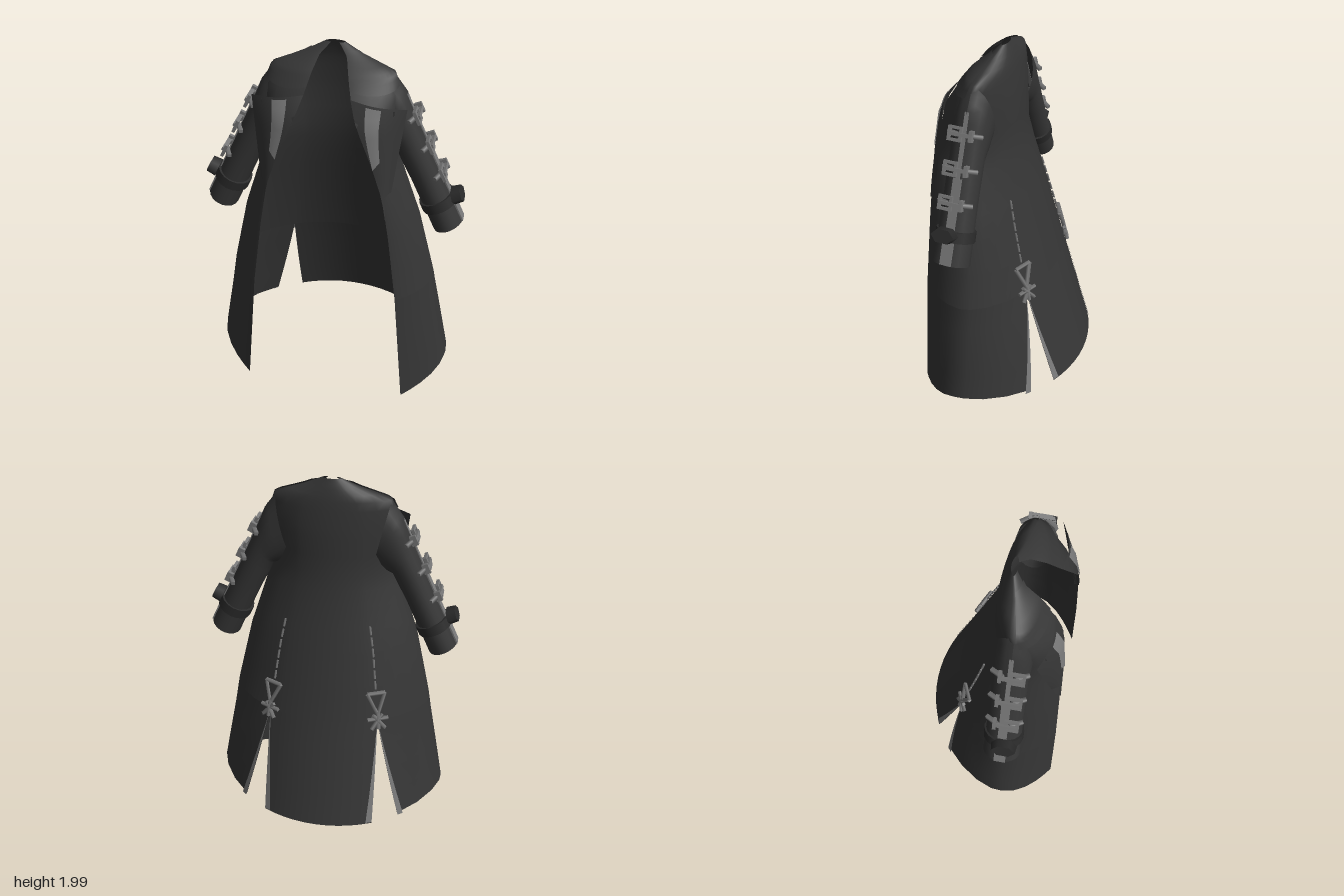
import * as THREE from 'three';

const material = (name, color) => {
  const m = new THREE.MeshStandardMaterial({ color, side: THREE.DoubleSide });
  m.name = name;
  return m;
};
const V = (x, y, z) => new THREE.Vector3(x, y, z);
const lerp = THREE.MathUtils.lerp;

// Body slices: y, back z, side x, side z, front edge x, front edge z
const ROWS = [
  [0, -0.44, 0.69, 0.09, 0.447, 0.407],
  [0.7, -0.225, 0.56, 0.11, 0.385, 0.39],
  [1.08, -0.12, 0.47, 0.13, 0.335, 0.375],
  [1.32, -0.055, 0.39, 0.14, 0.295, 0.365],
  [1.5, -0.02, 0.335, 0.15, 0.235, 0.355],
  [1.7, -0.01, 0.345, 0.14, 0.15, 0.33],
  [1.8, 0, 0.34, 0.13, 0.115, 0.27],
  [1.89, 0.012, 0.305, 0.11, 0.09, 0.2],
  [1.95, 0.028, 0.15, 0.09, 0.068, 0.125],
  [2, 0.05, 0.05, 0.068, 0.02, 0.08],
];

// Sleeve slices: outer x, outer y, inner x, inner y, half depth
const SLEEVE = [
  [0.69, 1.09, 0.54, 1.02, 0.097],
  [0.55, 1.383, 0.405, 1.315, 0.09],
  [0.434, 1.632, 0.32, 1.48, 0.089],
  [0.365, 1.79, 0.27, 1.5, 0.095],
  [0.3, 1.88, 0.22, 1.53, 0.095],
];

// Point on the coat: angle 0 is the back centre, PI the left front edge
function coatPoint(angle, y, off = 0) {
  let i = 0;
  while (i < ROWS.length - 2 && y > ROWS[i + 1][0]) i++;
  const a = ROWS[i], b = ROWS[i + 1], k = (y - a[0]) / (b[0] - a[0]);
  const [, zb, xs, zs, xf, zf] = a.map((n, j) => lerp(n, b[j], k));
  const t = Math.abs(angle), s = Math.sign(angle);
  const back = t < Math.PI / 2, c = Math.abs(Math.cos(t)), n = Math.sin(t);
  const bow = 2 - 0.7 * Math.min(y / 1.5, 1);
  const x = back ? xs * n : xf + (xs - xf) * Math.pow(Math.max(n, 0), bow);
  const z = back ? zs + (zb - zs) * Math.pow(c, 1.3) : zs + (zf - zs) * c;
  return V(s * (x + off * n), y, z - off * Math.cos(t));
}

// Lower edge of the coat by angle
function hem(angle) {
  const t = Math.abs(angle), c = Math.abs(Math.cos(t));
  return t < Math.PI / 2 ? 0.1 + 0.04 * Math.sin(t) ** 2 : 0.14 - 0.13 * Math.pow(c, 1.3);
}
const SLIT = 0.565;
const slitBack = (y) => SLIT - 0.14 * (0.7 - y);
const slitSide = (y) => SLIT + 0.28 * (0.7 - y);

// Bent sheet from a function of u, v
function sheet(f, nu, nv) {
  const g = new THREE.PlaneGeometry(1, 1, nu, nv);
  const p = g.attributes.position, uv = g.attributes.uv;
  for (let i = 0; i < p.count; i++) {
    const q = f(uv.getX(i), uv.getY(i));
    p.setXYZ(i, q.x, q.y, q.z);
  }
  g.computeVertexNormals();
  return g;
}

export function createModel() {
  const coat = material('coat cloth', 0x353535);
  const leather = material('dark leather', 0x2b2b2b);
  const metal = material('grey trim', 0x787878);
  const model = new THREE.Group();
  model.name = 'longCoat';

  const add = (parent, name, geo, mat, x = 0, y = 0, z = 0) => {
    const m = new THREE.Mesh(geo, mat);
    m.name = name;
    m.position.set(x, y, z);
    parent.add(m);
    return m;
  };
  const bar = (parent, name, p, q, r, mat = metal) => {
    const m = add(parent, name, new THREE.CylinderGeometry(r, r, p.distanceTo(q), 4), mat);
    m.position.copy(p).lerp(q, 0.5);
    m.quaternion.setFromUnitVectors(V(0, 1, 0), q.clone().sub(p).normalize());
  };

  // Upper coat, with columns that meet the skirt panels below
  add(model, 'upperCoat', sheet((u, v) => {
    const col = Math.round(u * 30) - 15, n = Math.abs(col);
    const angle = n <= 5 ? SLIT * n / 5 : lerp(SLIT, Math.PI, (n - 5) / 10);
    const r = 1 + v * 8, i = Math.min(Math.floor(r), 8);
    return coatPoint(-Math.sign(col) * angle, lerp(ROWS[i][0], ROWS[i + 1][0], r - i));
  }, 30, 16), coat);

  // Back tail between the two slits
  add(model, 'backTail', sheet((u, v) => {
    const y = lerp(0.1, 0.7, v), e = slitBack(y);
    return coatPoint(lerp(e, -e, u), y);
  }, 10, 4), coat);

  for (const side of [1, -1]) {
    const half = new THREE.Group();
    half.name = side > 0 ? 'leftHalf' : 'rightHalf';
    half.scale.x = side;
    model.add(half);

    // Front skirt from the slit round to the front edge
    add(half, 'frontSkirt', sheet((u, v) => {
      const a = lerp(slitSide(lerp(0.11, 0.7, v)), Math.PI, 1 - u);
      return coatPoint(a, lerp(hem(a), 0.7, v));
    }, 10, 4), coat);

    // Collar flap over the front of the shoulder
    add(half, 'collar', sheet((u, v) => {
      const low = 1.83 - 0.02 * Math.sin(Math.PI * u);
      const p = coatPoint(lerp(Math.PI, 1.75, u), lerp(low, 1.97, v), 0.007);
      p.y += 0.004;
      return p;
    }, 10, 8), coat);

    // Pale strips along both slit edges
    for (const [edge, dir] of [[slitBack, -1], [slitSide, 1]]) {
      add(half, 'slitTrim', sheet((u, v) => {
        const y = lerp(0.108, 0.7, v), w = 0.055 * (1 - v);
        return coatPoint(edge(y) + dir * w * u, y, 0.004);
      }, 2, 4), metal);
    }

    // Clasp above the slit: triangle, cross bars and a stitched line
    const clasp = new THREE.Group();
    clasp.name = 'slitClasp';
    half.add(clasp);
    const c = (da, y) => coatPoint(SLIT + da, y, 0.015);
    const links = [
      [-0.1, 0.86, 0.1, 0.86], [-0.1, 0.86, 0, 0.74], [0.1, 0.86, 0, 0.74],
      [-0.11, 0.715, 0.11, 0.715], [-0.07, 0.66, 0.05, 0.74], [0.07, 0.66, -0.05, 0.74],
      [0, 0.66, 0, 0.76],
    ];
    for (const [a, y, b, y2] of links) bar(clasp, 'claspBar', c(a, y), c(b, y2), 0.012);
    for (let i = 0; i < 6; i++) {
      const y = 0.88 + i * 0.06;
      bar(clasp, 'stitch', coatPoint(SLIT, y, 0.007), coatPoint(SLIT, y + 0.045, 0.007), 0.006);
    }

    // Lapel folded back over the chest, with its pale stripe
    const lapel = (u, v, lift) => {
      const a = coatPoint(Math.PI, lerp(1.2, 1.8, v));
      const b = V(lerp(0.318, 0.385, v), lerp(1.2, 1.76, v), lerp(0.345, 0.235, v));
      const p = a.lerp(b, u);
      p.z += 0.005 + 0.03 * Math.sin(Math.PI * u) * v + lift;
      return p;
    };
    add(half, 'lapel', sheet((u, v) => lapel(u, v, 0), 8, 8), coat);
    add(half, 'lapelStripe', sheet((u, v) =>
      lapel(lerp(lerp(0.02, 0.28, v), lerp(0.4, 0.56, v), u), lerp(0.46 + 0.08 * u, 0.985, v), 0.006), 4, 6), metal);
    bar(half, 'lapelSeam', lapel(0.78, 0.98, 0), lapel(0.75, 0.1, 0), 0.003, leather);

    // Sleeve widening into the shoulder
    add(half, 'sleeve', sheet((u, v) => {
      const r = v * 4, i = Math.min(Math.floor(r), 3), t = u * Math.PI * 2;
      const [ox, oy, ix, iy, d] = SLEEVE[i].map((n, j) => lerp(n, SLEEVE[i + 1][j], r - i));
      const k = 0.5 + 0.5 * Math.cos(t);
      return V(lerp(ix, ox, k), lerp(iy, oy, k), 0.12 - d * Math.sin(t));
    }, 18, 12), coat);

    // Fittings on the sleeve: local y runs up the arm, +x faces outward
    const arm = new THREE.Group();
    arm.name = 'sleeveFittings';
    arm.position.set(0.615, 1.055, 0.12);
    arm.rotation.z = 0.437;
    half.add(arm);

    // Cuff strap with a pointed tab
    const strap = add(arm, 'cuffStrap', new THREE.CylinderGeometry(0.095, 0.095, 0.055, 16, 1, true), leather, 0, 0.15, 0);
    strap.scale.z = 1.08;
    for (const y of [0.1225, 0.1775]) {
      const rim = add(arm, 'strapEdge', new THREE.RingGeometry(0.08, 0.095, 16), leather, 0, y, 0);
      rim.rotation.x = y < 0.15 ? Math.PI / 2 : -Math.PI / 2;
      rim.scale.y = 1.08;
    }
    const tab = add(arm, 'strapTab', new THREE.CylinderGeometry(0.055, 0.06, 0.05, 6), leather, 0.113, 0.157, 0.015);
    tab.rotation.z = -Math.PI / 2;
    tab.scale.set(0.7, 1, 1.1);

    // Pale stripe down the outer arm, thinner near the shoulder
    add(arm, 'sleeveStripe', new THREE.BoxGeometry(0.009, 0.13, 0.06), metal, 0.081, 0.067, 0);
    add(arm, 'sleeveStripeMiddle', new THREE.BoxGeometry(0.009, 0.28, 0.046), metal, 0.079, 0.3, 0);
    add(arm, 'sleeveStripeTop', new THREE.BoxGeometry(0.009, 0.33, 0.022), metal, 0.0795, 0.6, 0);

    // Three buckles
    for (const y of [0.315, 0.485, 0.655]) {
      const buckle = new THREE.Group();
      buckle.name = 'buckle';
      buckle.position.set(0.097, y, 0);
      arm.add(buckle);
      for (const s of [-1, 1]) {
        add(buckle, 'frameRail', new THREE.BoxGeometry(0.016, 0.014, 0.07), metal, 0, s * 0.03, 0.04);
        add(buckle, 'frameEnd', new THREE.BoxGeometry(0.016, 0.074, 0.014), metal, 0, 0, 0.04 + s * 0.03);
        bar(buckle, 'buckleStrap', V(0, 0, s * 0.03), V(-0.038, 0, s * 0.09), 0.014);
      }
      add(buckle, 'prong', new THREE.BoxGeometry(0.014, 0.018, 0.11), metal, 0.01, 0, 0.01);
      add(buckle, 'strapLoop', new THREE.BoxGeometry(0.034, 0.055, 0.018), metal, 0, 0, -0.045);
    }
  }
  return model;
}
